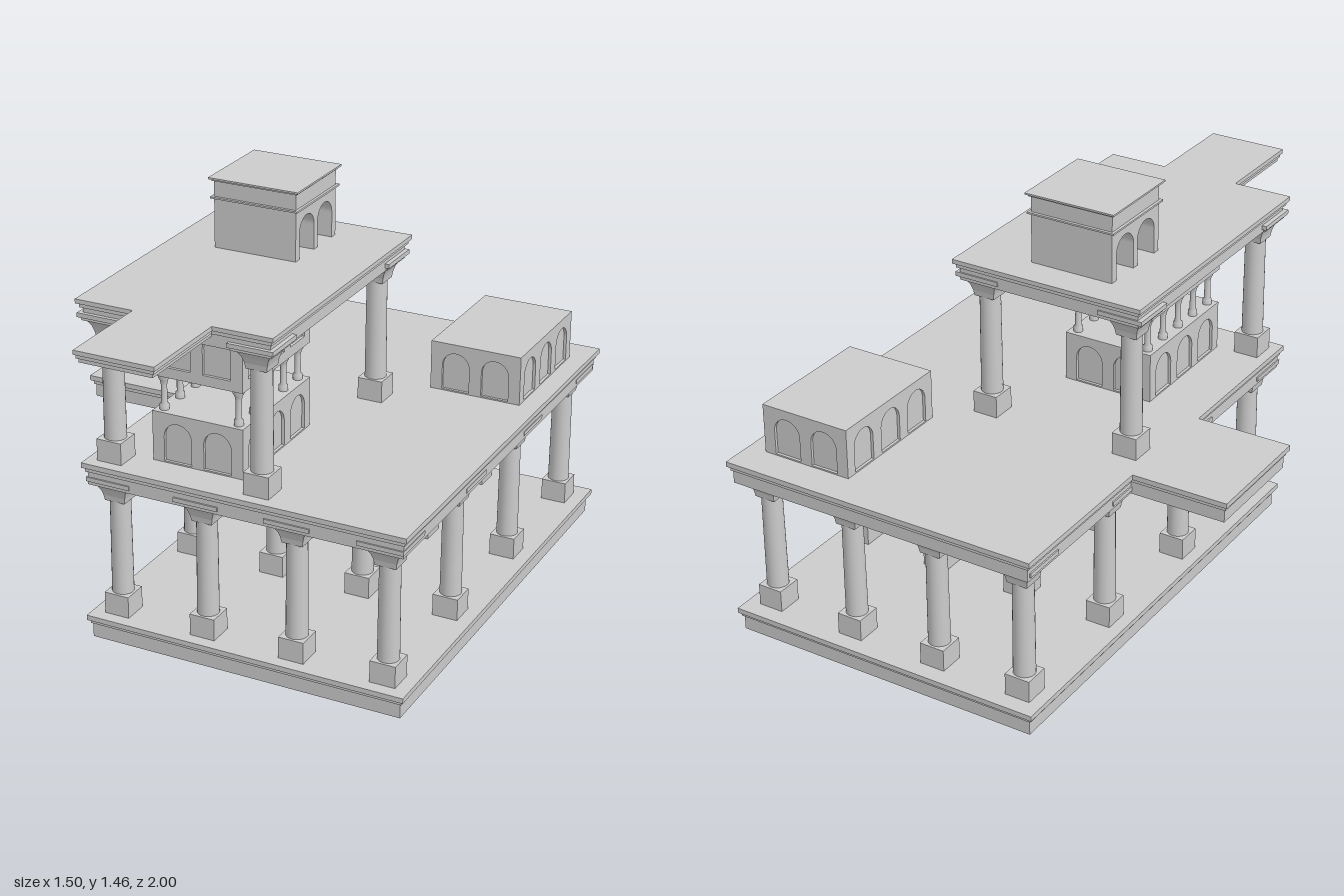
import * as THREE from 'three';

const grey = new THREE.MeshStandardMaterial({ color: 0xcccccc });
const T = 0.01; // wall panel thickness

function add(parent, name, geometry, x = 0, y = 0, z = 0) {
  const mesh = new THREE.Mesh(geometry, grey);
  mesh.name = name;
  mesh.position.set(x, y, z);
  parent.add(mesh);
  return mesh;
}

// Box given by its limits on each axis
function block(parent, name, x0, x1, y0, y1, z0, z1) {
  return add(parent, name, new THREE.BoxGeometry(x1 - x0, y1 - y0, z1 - z0),
    (x0 + x1) / 2, (y0 + y1) / 2, (z0 + z1) / 2);
}

function group(parent, name, x = 0, y = 0, z = 0) {
  const g = new THREE.Group();
  g.name = name;
  g.position.set(x, y, z);
  parent.add(g);
  return g;
}

// Floor slab with a stepped cornice; tiers are [bottom, top, inset]
function slab(parent, name, x0, x1, z0, z1, tiers) {
  const g = group(parent, name);
  for (const [a, b, i] of tiers) block(g, 'slabTier', x0 + i, x1 - i, a, b, z0 + i, z1 - i);
}

// Column: square plinth, round shaft, flared square capital, stepped abacus
function column(parent, x, y0, y1, z) {
  const g = group(parent, 'column', x, y0, z);
  const h = y1 - y0, capY = h - 0.065;
  block(g, 'plinth', -0.045, 0.045, 0, 0.077, -0.045, 0.045);
  add(g, 'shaft', new THREE.CylinderGeometry(0.035, 0.037, capY - 0.077, 24), 0, (capY + 0.077) / 2);
  const profile = [[0, 0], [0.037, 0], [0.04, 0.02], [0.046, 0.04], [0.055, 0.056], [0.062, 0.065], [0, 0.065]]
    .map(([r, y]) => new THREE.Vector2(r * Math.SQRT2, y));
  const flare = new THREE.LatheGeometry(profile, 4, Math.PI / 4).toNonIndexed();
  flare.computeVertexNormals();
  add(g, 'capital', flare, 0, capY);
  block(g, 'abacusLower', -0.07, 0.07, h, h + 0.012, -0.07, 0.07);
  block(g, 'abacusUpper', -0.08, 0.08, h + 0.012, h + 0.027, -0.08, 0.08);
}

// Small column with flared head
function colonnette(parent, x, y, z) {
  const pts = [[0.016, 0], [0.016, 0.018], [0.011, 0.022], [0.01, 0.085], [0.013, 0.1], [0.019, 0.112], [0.019, 0.126]]
    .map(([r, v]) => new THREE.Vector2(r, v));
  add(parent, 'colonnette', new THREE.LatheGeometry(pts, 16), x, y, z);
}

function archHole(cx, bottom, top, r) {
  const p = new THREE.Path();
  p.moveTo(cx - r, bottom);
  p.lineTo(cx + r, bottom);
  p.absarc(cx, top - r, r, 0, Math.PI, false);
  p.lineTo(cx - r, bottom);
  return p;
}

// Thin wall with a row of arched openings
function archWall(w, h, count, bottom, top) {
  const s = new THREE.Shape();
  s.moveTo(-w / 2, 0).lineTo(w / 2, 0).lineTo(w / 2, h).lineTo(-w / 2, h).closePath();
  for (let i = 0; i < count; i++) {
    s.holes.push(archHole((i - (count - 1) / 2) * 0.145, bottom, top, 0.05));
  }
  return new THREE.ExtrudeGeometry(s, { depth: T, bevelEnabled: false, curveSegments: 12 });
}

// Block with blind arches: two on each end, three on each side
function arcade(parent, name, cx, y, cz, h, bottom, top) {
  const w = 0.33, d = 0.468;
  const g = group(parent, name, cx, y, cz);
  block(g, 'core', -w / 2 + T, w / 2 - T, 0, h, -d / 2 + T, d / 2 - T);
  for (let i = 0; i < 4; i++) {
    const end = i % 2 === 0;
    const face = group(g, 'face');
    face.rotation.y = i * Math.PI / 2;
    const geo = end ? archWall(w, h, 2, bottom, top) : archWall(d - 2 * T, h, 3, bottom, top);
    add(face, 'archWall', geo, 0, 0, (end ? d : w) / 2 - T);
  }
}

// Roof tower pierced by two arches running sideways
function tower(parent) {
  const g = group(parent, 'roofTower', -0.09, 1.215, -0.095);
  const w = 0.29, r = 0.053, springY = 0.087;
  const s = new THREE.Shape();
  s.moveTo(-w / 2, 0);
  for (const c of [-0.065, 0.065]) {
    s.lineTo(c - r, 0);
    s.lineTo(c - r, springY);
    s.absarc(c, springY, r, Math.PI, 0, true);
    s.lineTo(c + r, 0);
  }
  s.lineTo(w / 2, 0).lineTo(w / 2, 0.24).lineTo(-w / 2, 0.24).closePath();
  const geo = new THREE.ExtrudeGeometry(s, { depth: 0.3, bevelEnabled: false, curveSegments: 16 });
  geo.translate(0, 0, -0.15).rotateY(Math.PI / 2);
  add(g, 'archedBody', geo);
  block(g, 'stringCourse', -0.16, 0.16, 0.172, 0.178, -0.155, 0.155);
  block(g, 'corniceLower', -0.156, 0.156, 0.232, 0.239, -0.151, 0.151);
  block(g, 'corniceUpper', -0.164, 0.164, 0.239, 0.245, -0.16, 0.16);
}

export function createModel() {
  const model = new THREE.Group();
  model.name = 'pavilion';

  // Floors and their projecting platforms
  const middle = [[0.565, 0.612, 0.015], [0.612, 0.627, 0.009], [0.627, 0.645, 0]];
  const roof = [[1.14, 1.185, 0.018], [1.185, 1.2, 0.009], [1.2, 1.215, 0]];
  slab(model, 'baseSlab', -0.41, 0.745, -1, 0.65, [[0, 0.052, 0.015], [0.052, 0.065, 0.009], [0.065, 0.083, 0]]);
  slab(model, 'middleSlab', -0.41, 0.745, -1, 0.65, middle);
  slab(model, 'sidePlatform', -0.75, -0.37, -0.39, 0.04, middle);
  slab(model, 'roofSlab', -0.41, 0.29, -0.355, 0.65, roof);
  slab(model, 'frontPlatform', -0.2, 0.08, 0.6, 1, [[1.173, 1.187, 0.012], [1.187, 1.2, 0.006], [1.2, 1.215, 0]]);

  // Lower columns
  for (const x of [-0.32, 0.003, 0.328, 0.652]) {
    for (const z of [0.56, 0.075, -0.41, -0.895]) column(model, x, 0.083, 0.565, z);
  }
  // Upper columns
  for (const x of [-0.328, 0.207]) {
    for (const z of [0.565, -0.262]) column(model, x, 0.645, 1.14, z);
  }

  // Two-storey arcaded house with an open gallery between
  arcade(model, 'houseLower', -0.05, 0.645, 0.287, 0.175, 0.005, 0.142);
  arcade(model, 'houseUpper', -0.05, 0.945, 0.287, 0.195, 0.035, 0.175);
  for (const x of [-0.186, 0.085]) {
    for (let i = 0; i < 5; i++) colonnette(model, x, 0.82, 0.084 + i * 0.102);
  }

  // Rear arcaded block and roof tower
  arcade(model, 'rearBlock', 0.511, 0.645, -0.647, 0.175, 0.005, 0.142);
  tower(model);
  return model;
}
